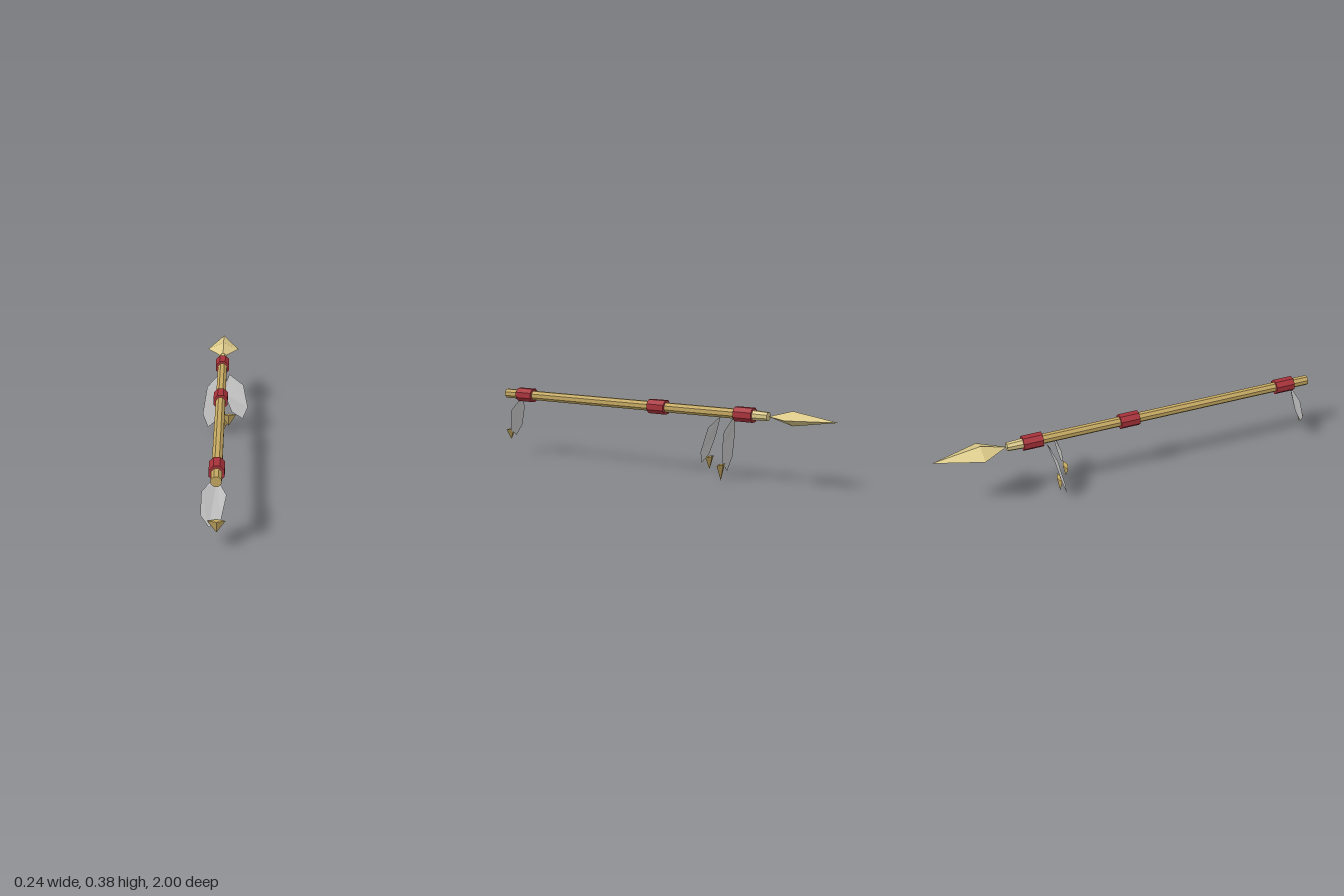
import * as THREE from 'three';

const AXIS_X = -0.017, AXIS_Y = 0.34;

function material(color) {
  return new THREE.MeshStandardMaterial({ color, flatShading: true });
}

// Octagonal rod along z with flats facing up and sideways
function rod(name, zFront, zBack, rFront, rBack, mat) {
  const g = new THREE.CylinderGeometry(rFront, rBack, zFront - zBack, 8);
  g.rotateY(Math.PI / 8);
  g.rotateX(Math.PI / 2);
  const mesh = new THREE.Mesh(g, mat);
  mesh.name = name;
  mesh.position.set(AXIS_X, AXIS_Y, (zFront + zBack) / 2);
  return mesh;
}

// Thin feather: flat outline that bends forward as it hangs down
function feather(name, outline, zTop, mat) {
  const shape = new THREE.Shape(outline.map(([x, y]) => new THREE.Vector2(x, y)));
  const g = new THREE.ShapeGeometry(shape);
  const p = g.attributes.position;
  const top = Math.max(...outline.map((o) => o[1]));
  for (let i = 0; i < p.count; i++) {
    const drop = top - p.getY(i);
    p.setZ(i, zTop + (drop < 0.06 ? drop * 0.5 : 0.03 + (drop - 0.06) * 0.2));
  }
  g.computeVertexNormals();
  const mesh = new THREE.Mesh(g, mat);
  mesh.name = name;
  return mesh;
}

// Flattened four-sided pendant pointing down
function pendant(name, x, yTop, yTip, z, mat) {
  const g = new THREE.ConeGeometry(0.04, yTop - yTip, 4);
  g.rotateX(Math.PI);
  g.scale(1, 1, 0.36);
  const mesh = new THREE.Mesh(g, mat);
  mesh.name = name;
  mesh.position.set(x, (yTop + yTip) / 2, z);
  return mesh;
}

export function createModel() {
  const group = new THREE.Group();
  group.name = 'spear';
  const wood = material(0xc4a861);
  const pale = material(0xdcca8a);
  const red = material(0xa8323a);
  const plume = material(0xcccccc);
  plume.side = THREE.DoubleSide;

  // Shaft and tapered socket
  group.add(rod('shaft', 1, -0.55, 0.0255, 0.0255, wood));
  group.add(rod('socket', -0.55, -0.63, 0.026, 0.022, pale));

  // Wrapped bands
  for (const z of [0.865, 0.005, -0.5]) {
    group.add(rod('band', z + 0.05, z - 0.05, 0.038, 0.038, red));
  }

  // Spearhead: diamond section with a long front point and a short tail
  const headGeo = new THREE.OctahedronGeometry(1);
  const p = headGeo.attributes.position;
  for (let i = 0; i < p.count; i++) {
    const z = p.getZ(i);
    p.setXYZ(i, p.getX(i) * 0.084, p.getY(i) * 0.036, z * (z < 0 ? 0.24 : 0.13));
  }
  headGeo.computeVertexNormals();
  const head = new THREE.Mesh(headGeo, pale);
  head.name = 'spearhead';
  head.position.set(AXIS_X, AXIS_Y, -0.76);
  group.add(head);

  // Feathers
  group.add(feather('buttFeather', [
    [-0.015, 0.315], [-0.04, 0.305], [-0.083, 0.265], [-0.088, 0.16],
    [-0.05, 0.107], [0.003, 0.14], [0.027, 0.25],
  ], 0.912, plume));
  group.add(feather('leftFeather', [
    [0.022, 0.327], [0.004, 0.29], [0.0, 0.23], [0.012, 0.19],
    [0.035, 0.135], [0.093, 0.1], [0.12, 0.16], [0.096, 0.277],
  ], -0.385, plume));
  group.add(feather('rightFeather', [
    [-0.017, 0.313], [-0.045, 0.3], [-0.097, 0.25], [-0.121, 0.107],
    [-0.093, 0.035], [-0.035, 0.083], [0.0, 0.17], [0.012, 0.25],
  ], -0.43, plume));

  // Pendants
  group.add(pendant('buttPendant', -0.017, 0.143, 0.087, 0.98, wood));
  group.add(pendant('leftPendant', 0.018, 0.122, 0.058, -0.322, wood));
  group.add(pendant('rightPendant', -0.017, 0.079, 0, -0.366, wood));

  return group;
}
